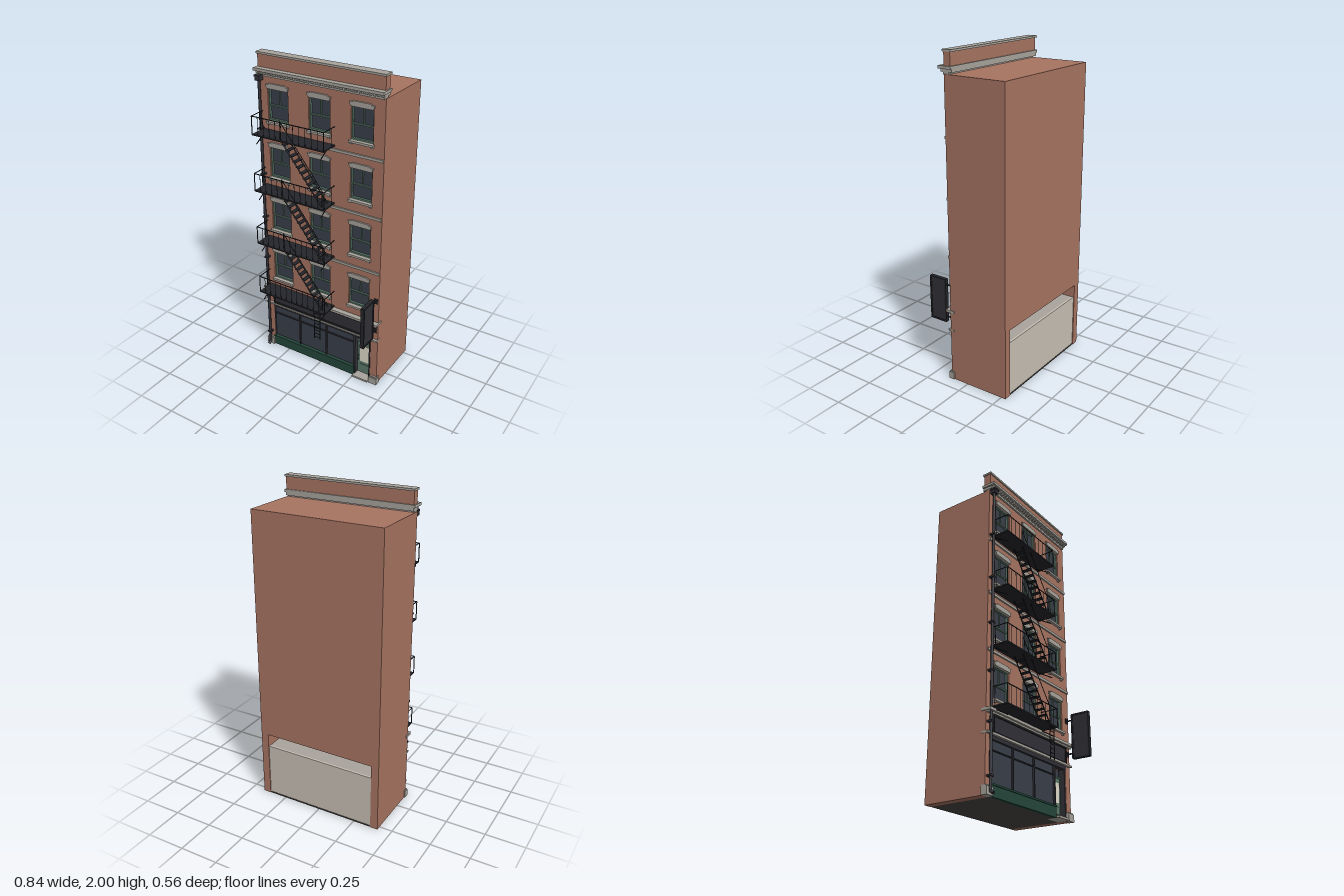
import * as THREE from 'three';

const mat = (color) => new THREE.MeshStandardMaterial({ color });
const M = {
  brick: mat(0xa87462), stone: mat(0xa9a59d), frame: mat(0x5c7a6c), green: mat(0x24463b),
  glass: mat(0x3a3f4a), iron: mat(0x25262b), sign: mat(0x303037), plaster: mat(0xc9c0b4),
  cream: mat(0xe3dccb), floor: mat(0x4a4745),
};

// Box given by its extents on each axis
function box(parent, name, m, x0, x1, y0, y1, z0, z1) {
  const mesh = new THREE.Mesh(new THREE.BoxGeometry(x1 - x0, y1 - y0, z1 - z0), M[m]);
  mesh.position.set((x0 + x1) / 2, (y0 + y1) / 2, (z0 + z1) / 2);
  mesh.name = name;
  parent.add(mesh);
  return mesh;
}

// Round bar between two points
function rod(parent, name, m, a, b, r = 0.0022, sides = 6) {
  const p = new THREE.Vector3(...a), q = new THREE.Vector3(...b), d = q.clone().sub(p);
  const mesh = new THREE.Mesh(new THREE.CylinderGeometry(r, r, d.length(), sides), M[m]);
  mesh.position.copy(p).add(q).multiplyScalar(0.5);
  mesh.quaternion.setFromUnitVectors(new THREE.Vector3(0, 1, 0), d.normalize());
  mesh.name = name;
  parent.add(mesh);
}

function group(parent, name) {
  const g = new THREE.Group();
  g.name = name;
  parent.add(g);
  return g;
}

const COLS = [-0.28, 0, 0.275];
const ROWS = [0, 1, 2, 3].map((i) => 0.532 + i * 0.356); // bottom of each window opening
const WIN_W = 0.07, WIN_H = 0.2;
const FLOORS = [0, 1, 2, 3].map((i) => 0.475 + i * 0.3567); // fire escape landings
const FRONT = 0.12;

// Wall outline with the shop opening cut from its foot
function wallShape(w, h) {
  const o = 0.366, t = 0.435;
  return new THREE.Shape([[-w, 0], [-o, 0], [-o, t], [o, t], [o, 0], [w, 0], [w, h], [-w, h]]
    .map(([x, y]) => new THREE.Vector2(x, y)));
}

function wall(parent, name, shape, z0, z1) {
  const geo = new THREE.ExtrudeGeometry(shape, { depth: z1 - z0, bevelEnabled: false });
  const mesh = new THREE.Mesh(geo, M.brick);
  mesh.position.z = z0;
  mesh.name = name;
  parent.add(mesh);
}

function buildWindow(parent, x, y) {
  const g = group(parent, 'window');
  g.position.set(x, y, 0);
  const w = WIN_W, h = WIN_H, f = 0.006;
  box(g, 'windowGlass', 'glass', -w, w, 0, h, 0.088, 0.097);
  for (const s of [-1, 1]) box(g, 'windowStile', 'frame', s * (w - f / 2) - f / 2, s * (w - f / 2) + f / 2, 0, h, 0.09, 0.112);
  box(g, 'topRail', 'frame', -w, w, h - f, h, 0.09, 0.112);
  box(g, 'bottomRail', 'frame', -w, w, 0, 0.012, 0.09, 0.112);
  box(g, 'meetingRail', 'frame', -w, w, 0.089, 0.097, 0.09, 0.108);
  box(g, 'glazingBar', 'frame', -0.003, 0.003, 0.095, h, 0.09, 0.105);
  // Splayed lintel with raised middle
  const lintel = new THREE.Shape([[-0.07, 0], [0.07, 0], [0.079, 0.024], [0.06, 0.024], [0.056, 0.031],
    [-0.056, 0.031], [-0.06, 0.024], [-0.079, 0.024]].map(([a, b]) => new THREE.Vector2(a, b)));
  const lm = new THREE.Mesh(new THREE.ExtrudeGeometry(lintel, { depth: 0.022, bevelEnabled: false }), M.stone);
  lm.position.set(0, h - 0.004, 0.108);
  lm.name = 'lintel';
  g.add(lm);
  box(g, 'sill', 'stone', -0.077, 0.077, -0.011, 0.002, 0.095, 0.137);
  for (const s of [-1, 1]) box(g, 'sillCorbel', 'stone', s * 0.066 - 0.008, s * 0.066 + 0.008, -0.02, -0.01, 0.11, 0.131);
}

function buildShop(root) {
  const g = group(root, 'shopfront');
  // Room behind the front
  box(g, 'shopFloor', 'floor', -0.366, 0.366, 0, 0.008, -0.278, 0.118);
  box(g, 'shopBackWall', 'plaster', -0.366, 0.366, 0.004, 0.35, -0.275, -0.262);
  box(g, 'shopCeiling', 'stone', -0.366, 0.366, 0.34, 0.348, -0.265, 0.1);
  // Display windows
  box(g, 'bulkhead', 'green', -0.37, 0.25, 0, 0.065, 0.09, 0.125);
  box(g, 'bulkheadSill', 'green', -0.37, 0.25, 0.06, 0.07, 0.09, 0.13);
  box(g, 'displayGlass', 'glass', -0.366, 0.246, 0.065, 0.31, 0.1, 0.108);
  for (const x of [-0.368, -0.165, 0.04, 0.248]) box(g, 'mullion', 'sign', x - 0.004, x + 0.004, 0.065, 0.31, 0.095, 0.119);
  box(g, 'transomBar', 'sign', -0.366, 0.25, 0.247, 0.253, 0.097, 0.117);
  box(g, 'shopHead', 'sign', -0.37, 0.37, 0.304, 0.33, 0.09, 0.122);
  // Recessed door
  box(g, 'doorReturn', 'green', 0.246, 0.252, 0, 0.31, 0.05, 0.115);
  for (const x of [0.252, 0.358]) box(g, 'doorJamb', 'sign', x - 0.003, x + 0.005, 0.01, 0.31, 0.06, 0.119);
  box(g, 'door', 'frame', 0.255, 0.36, 0.012, 0.25, 0.07, 0.085);
  box(g, 'doorGlass', 'cream', 0.275, 0.34, 0.1, 0.222, 0.08, 0.088);
  box(g, 'doorPanel', 'frame', 0.275, 0.34, 0.035, 0.08, 0.08, 0.09);
  box(g, 'doorTransom', 'glass', 0.255, 0.36, 0.258, 0.305, 0.07, 0.08);
  box(g, 'doorTransomBar', 'frame', 0.255, 0.36, 0.249, 0.258, 0.07, 0.092);
  rod(g, 'doorHandle', 'iron', [0.266, 0.11, 0.094], [0.266, 0.15, 0.094], 0.003);
  box(g, 'doorStep', 'stone', 0.25, 0.362, 0, 0.012, 0.06, 0.145);
  // Blank fascia board with a raised rim
  box(g, 'fascia', 'sign', -0.366, 0.366, 0.335, 0.447, 0.1, 0.126);
  for (const y of [0.342, 0.436]) box(g, 'fasciaRim', 'iron', -0.36, 0.366, y - 0.004, y + 0.004, 0.12, 0.134);
  for (const x of [-0.356, 0.362]) box(g, 'fasciaRim', 'iron', x - 0.004, x + 0.004, 0.342, 0.436, 0.12, 0.134);
  // Stone mouldings and plinths
  box(g, 'shopCornice', 'stone', -0.42, 0.42, 0.449, 0.465, 0.09, 0.152);
  box(g, 'shopCorniceBed', 'stone', -0.413, 0.413, 0.44, 0.449, 0.09, 0.138);
  box(g, 'shopArchitrave', 'stone', -0.416, 0.416, 0.326, 0.337, 0.095, 0.137);
  for (const s of [-1, 1]) {
    box(g, 'pierPlinth', 'stone', s * 0.394 - 0.028, s * 0.394 + 0.028, 0, 0.045, 0.1, 0.137);
    box(g, 'pierPlinthCap', 'stone', s * 0.394 - 0.024, s * 0.394 + 0.024, 0.045, 0.053, 0.1, 0.131);
  }
}

function buildCornice(root) {
  const g = group(root, 'cornice');
  box(g, 'frieze', 'stone', -0.41, 0.41, 1.865, 1.878, 0.09, 0.13);
  box(g, 'corniceBed', 'stone', -0.412, 0.412, 1.878, 1.896, 0.07, 0.132);
  box(g, 'corniceShelf', 'stone', -0.42, 0.42, 1.896, 1.913, 0.07, 0.158);
  for (let i = 0; i < 36; i++) {
    const x = -0.402 + i * 0.804 / 35;
    box(g, 'dentil', 'stone', x - 0.006, x + 0.006, 1.88, 1.897, 0.125, 0.147);
  }
  box(g, 'parapet', 'brick', -0.412, 0.412, 1.91, 1.99, 0.078, 0.122);
  box(g, 'parapetCap', 'stone', -0.417, 0.417, 1.988, 2, 0.07, 0.13);
}

function buildLanding(g, y) {
  const x0 = -0.385, x1 = 0.104, zi = 0.128, zo = 0.236, top = y + 0.112;
  box(g, 'landing', 'iron', x0, x1, y - 0.004, y + 0.004, 0.122, zo + 0.002);
  for (const h of [top, y + 0.09]) {
    if (h === top) rod(g, 'handrail', 'iron', [x0, h, zo], [x1, h, zo], 0.003);
    for (const x of [x0, x1]) if (h === top) rod(g, 'endRail', 'iron', [x, h, zi], [x, h, zo], 0.003);
  }
  for (let i = 0; i <= 12; i++) {
    const x = x0 + (x1 - x0) * i / 12;
    rod(g, 'baluster', 'iron', [x, y, zo], [x, top, zo], i % 12 ? 0.0016 : 0.003);
  }
  for (const x of [x0, x1]) rod(g, 'wallPost', 'iron', [x, y, 0.155], [x, top, 0.155], 0.002);
  for (const x of [-0.365, 0.075]) rod(g, 'brace', 'iron', [x, y, 0.125], [x, y - 0.058, 0.226], 0.003);
}

function buildFireEscape(root) {
  const g = group(root, 'fireEscape');
  FLOORS.forEach((y) => buildLanding(g, y));
  // Flights with open treads and one outer handrail
  for (let i = 0; i < 3; i++) {
    const lo = FLOORS[i], hi = FLOORS[i + 1], xt = -0.205, xb = 0.075;
    for (const z of [0.152, 0.212]) rod(g, 'stringer', 'iron', [xt, hi, z], [xb, lo, z], 0.004);
    rod(g, 'stairRail', 'iron', [xt, hi + 0.108, 0.212], [xb, lo + 0.108, 0.212], 0.0025);
    for (const [x, y] of [[xt, hi], [xb, lo]]) rod(g, 'stairPost', 'iron', [x, y, 0.212], [x, y + 0.108, 0.212]);
    for (let k = 1; k < 12; k++) {
      const x = xt + (xb - xt) * k / 12, y = hi + (lo - hi) * k / 12;
      box(g, 'tread', 'iron', x - 0.013, x + 0.013, y - 0.002, y + 0.002, 0.152, 0.212);
    }
  }
  // Drop ladder
  for (const x of [0.027, 0.069]) rod(g, 'ladderRail', 'iron', [x, 0.272, 0.234], [x, 0.478, 0.234], 0.0028);
  for (let k = 0; k < 8; k++) rod(g, 'ladderRung', 'iron', [0.027, 0.285 + k * 0.025, 0.234], [0.069, 0.285 + k * 0.025, 0.234]);
}

function buildDrainpipe(root) {
  const g = group(root, 'drainpipe');
  rod(g, 'pipe', 'sign', [-0.394, 0.02, 0.14], [-0.394, 1.85, 0.14], 0.0085, 12);
  rod(g, 'shoe', 'sign', [-0.394, 0.024, 0.138], [-0.394, 0.008, 0.16], 0.009, 12);
  box(g, 'hopper', 'sign', -0.41, -0.378, 1.84, 1.868, 0.122, 0.158);
  box(g, 'hopperRim', 'sign', -0.413, -0.375, 1.864, 1.874, 0.122, 0.161);
  for (let y = 0.1; y < 1.8; y += 0.29) box(g, 'pipeClip', 'sign', -0.407, -0.381, y - 0.005, y + 0.005, 0.118, 0.151);
}

function buildBladeSign(root) {
  const g = group(root, 'bladeSign');
  box(g, 'signBoard', 'sign', 0.386, 0.402, 0.376, 0.644, 0.168, 0.274);
  for (const y of [0.374, 0.646]) box(g, 'signRim', 'iron', 0.382, 0.406, y - 0.005, y + 0.005, 0.162, 0.28);
  for (const z of [0.166, 0.276]) box(g, 'signRim', 'iron', 0.382, 0.406, 0.374, 0.646, z - 0.005, z + 0.005);
  for (const y of [0.405, 0.615]) {
    rod(g, 'signArm', 'iron', [0.394, y, 0.118], [0.394, y, 0.17], 0.005, 8);
    box(g, 'signWallPlate', 'iron', 0.382, 0.406, y - 0.016, y + 0.016, 0.118, 0.126);
  }
}

export function createModel() {
  const root = new THREE.Group();
  root.name = 'building';
  // Brick shell: solid core and a thin pierced face
  wall(root, 'buildingCore', wallShape(0.415, 1.868), -0.28, 0.09);
  const face = wallShape(0.415, 1.868);
  for (const x of COLS) for (const y of ROWS) {
    const hole = new THREE.Path([[-1, 0], [-1, 1], [1, 1], [1, 0]]
      .map(([a, b]) => new THREE.Vector2(x + a * WIN_W, y + b * WIN_H)));
    face.holes.push(hole);
    buildWindow(root, x, y);
  }
  wall(root, 'brickFace', face, 0.09, FRONT);
  for (const y of [0.807, 1.163, 1.519]) box(root, 'stringCourse', 'stone', -0.412, 0.412, y - 0.008, y + 0.008, 0.11, 0.129);
  buildShop(root);
  buildCornice(root);
  buildFireEscape(root);
  buildDrainpipe(root);
  buildBladeSign(root);
  return root;
}
